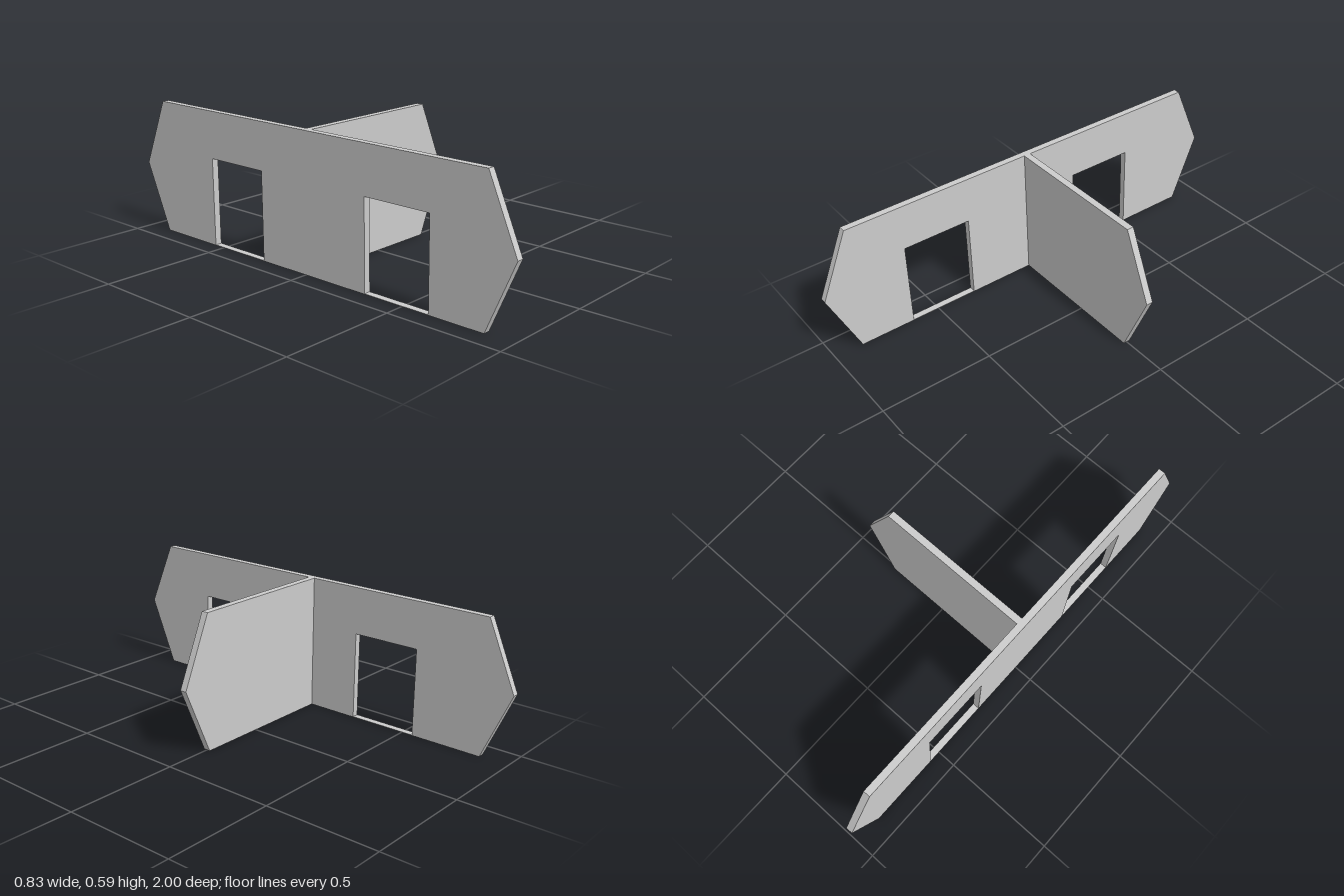
import * as THREE from 'three';

const HEIGHT = 0.59, THICK = 0.03, SILL = 0.002;
const material = new THREE.MeshStandardMaterial({ color: 0xcccccc, flatShading: true });

const outline = (points) => new THREE.Shape(points.map(([x, y]) => new THREE.Vector2(x, y)));

function panel(name, shape) {
  const geometry = new THREE.ExtrudeGeometry(shape, { depth: THICK, bevelEnabled: false });
  const mesh = new THREE.Mesh(geometry, material);
  mesh.name = name;
  return mesh;
}

export function createModel() {
  const group = new THREE.Group();
  group.name = 'partitionWalls';
  const mid = HEIGHT / 2;

  // Long wall with pointed ends and two doorways, each with a thin sill
  const wallShape = outline([
    [-0.872, 0], [0.872, 0], [1, mid], [0.872, HEIGHT], [-0.872, HEIGHT], [-1, mid],
  ]);
  for (const [a, b] of [[0.315, 0.625], [-0.551, -0.246]]) {
    wallShape.holes.push(outline([[a, SILL], [a, 0.385], [b, 0.385], [b, SILL]]));
  }
  const wall = panel('longWall', wallShape);
  wall.geometry.rotateY(-Math.PI / 2).translate(-0.387, 0, 0);
  group.add(wall);

  // Cross wall standing out from the middle, with a pointed free end
  const cross = panel('crossWall', outline([
    [-0.387, 0], [0.287, 0], [0.416, mid], [0.287, HEIGHT], [-0.387, HEIGHT],
  ]));
  cross.geometry.translate(0, 0, -THICK / 2);
  group.add(cross);

  return group;
}
